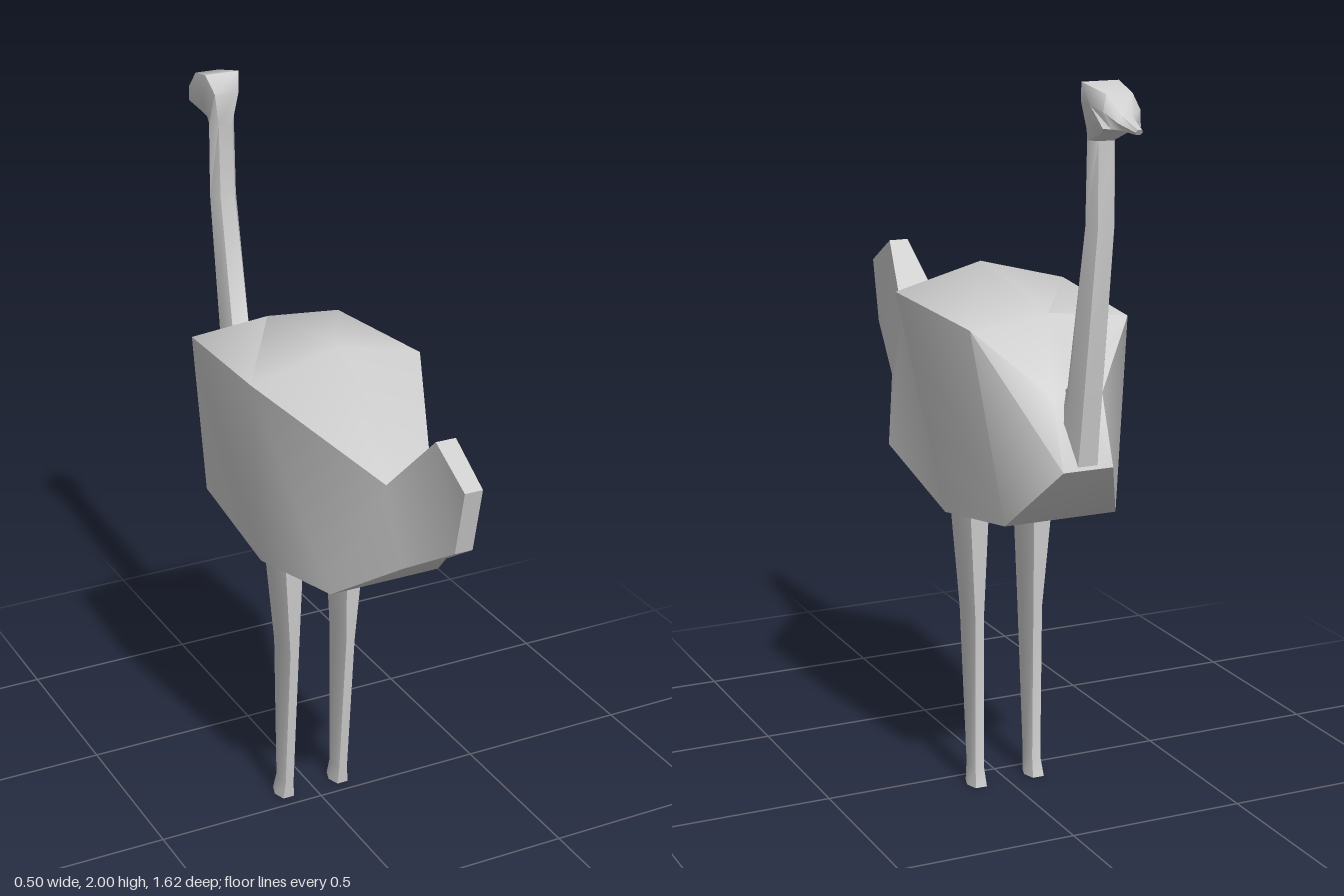
import * as THREE from 'three';
import { toCreasedNormals } from 'three/addons/utils/BufferGeometryUtils.js';

const material = new THREE.MeshStandardMaterial({ color: 0xcccccc });

// Skin a list of equal-sized rings, closing both ends
function loft(name, rings, crease = 0.75) {
  const pos = [];
  const n = rings[0].length;
  const tri = (a, b, c) => {
    const area = new THREE.Triangle(a, b, c).getArea();
    if (area > 1e-7) for (const p of [a, b, c]) pos.push(p.x, p.y, p.z);
  };
  for (let i = 0; i + 1 < rings.length; i++) {
    for (let j = 0; j < n; j++) {
      const k = (j + 1) % n;
      const [a, b, c, d] = [rings[i][j], rings[i][k], rings[i + 1][k], rings[i + 1][j]];
      tri(a, b, c);
      tri(a, c, d);
    }
  }
  const first = rings[0], last = rings[rings.length - 1];
  for (let j = 1; j + 1 < n; j++) {
    tri(first[0], first[j + 1], first[j]);
    tri(last[0], last[j], last[j + 1]);
  }
  const geometry = new THREE.BufferGeometry();
  geometry.setAttribute('position', new THREE.Float32BufferAttribute(pos, 3));
  const mesh = new THREE.Mesh(toCreasedNormals(geometry, crease), material);
  mesh.name = name;
  return mesh;
}

// Six-sided ring between a back and a front point; s sets how square it is
function hexRing([zb, yb, zf, yf, w, s = 0.55, cx = 0]) {
  const back = [yb, zb], front = [yf, zf], mid = [(yb + yf) / 2, (zb + zf) / 2];
  return [[s * w, back], [w, mid], [s * w, front], [-s * w, front], [-w, mid], [-s * w, back]]
    .map(([x, [y, z]]) => new THREE.Vector3(cx + x, y, z));
}

// Five-sided body ring: ridge, shoulders and lower corners
function bodyRing([ridge, shoulder, low]) {
  const v = (x, y, z) => new THREE.Vector3(x, y, z);
  const [sx, sy, sz] = shoulder, [lx, ly, lz] = low;
  return [v(0, ...ridge), v(sx, sy, sz), v(lx, ly, lz), v(-lx, ly, lz), v(-sx, sy, sz)];
}

export function createModel() {
  const model = new THREE.Group();
  model.name = 'longNeckedBird';

  // Body and upturned tail, from tail tip to breast
  model.add(loft('bodyAndTail', [
    [[1.33, 0.81], [0.025, 1.33, 0.81], [0.025, 1.15, 0.77]],
    [[1.41, 0.67], [0.028, 1.41, 0.67], [0.025, 1.15, 0.77]],
    [[1.225, 0.49], [0.065, 1.225, 0.49], [0.062, 1.03, 0.58]],
    [[1.225, 0.49], [0.065, 1.225, 0.49], [0.16, 0.88, 0.37]],
    [[1.445, 0.09], [0.25, 1.38, 0.09], [0.165, 0.79, -0.04]],
    [[1.38, -0.33], [0.225, 1.355, -0.34], [0.16, 0.85, -0.41]],
    [[1.21, -0.49], [0.07, 1.2, -0.5], [0.07, 1.02, -0.565]],
  ].map(bodyRing)));

  // Neck, head and beak as one tapering form
  model.add(loft('neckAndHead', [
    [-0.46, 1.2, -0.56, 1.02, 0.05],
    [-0.495, 1.22, -0.573, 1.12, 0.047],
    [-0.58, 1.65, -0.645, 1.65, 0.04],
    [-0.587, 1.86, -0.64, 1.86, 0.038],
    [-0.575, 1.95, -0.68, 1.882, 0.048, 0.75],
    [-0.605, 2.0, -0.72, 1.9, 0.056, 0.9],
    [-0.705, 1.98, -0.732, 1.9, 0.05, 0.7],
    [-0.742, 1.932, -0.75, 1.897, 0.024],
    [-0.81, 1.906, -0.802, 1.893, 0.01],
  ].map(hexRing), 1));

  // Legs with small flared feet
  for (const [side, sign] of [['left', 1], ['right', -1]]) {
    model.add(loft(side + 'Leg', [
      [-0.035, 0, 0.028, -0.105, 0.088],
      [-0.03, 0.055, 0.021, -0.092, 0.087],
      [0.01, 0.5, 0.022, -0.095, 0.088],
      [0.025, 0.8, 0.045, -0.112, 0.095],
      [0.025, 0.88, 0.047, -0.113, 0.095],
    ].map(([zb, y, w, zf, cx]) => hexRing([zb, y, zf, y, w, 0.6, sign * cx])), 1.1));
  }
  return model;
}
